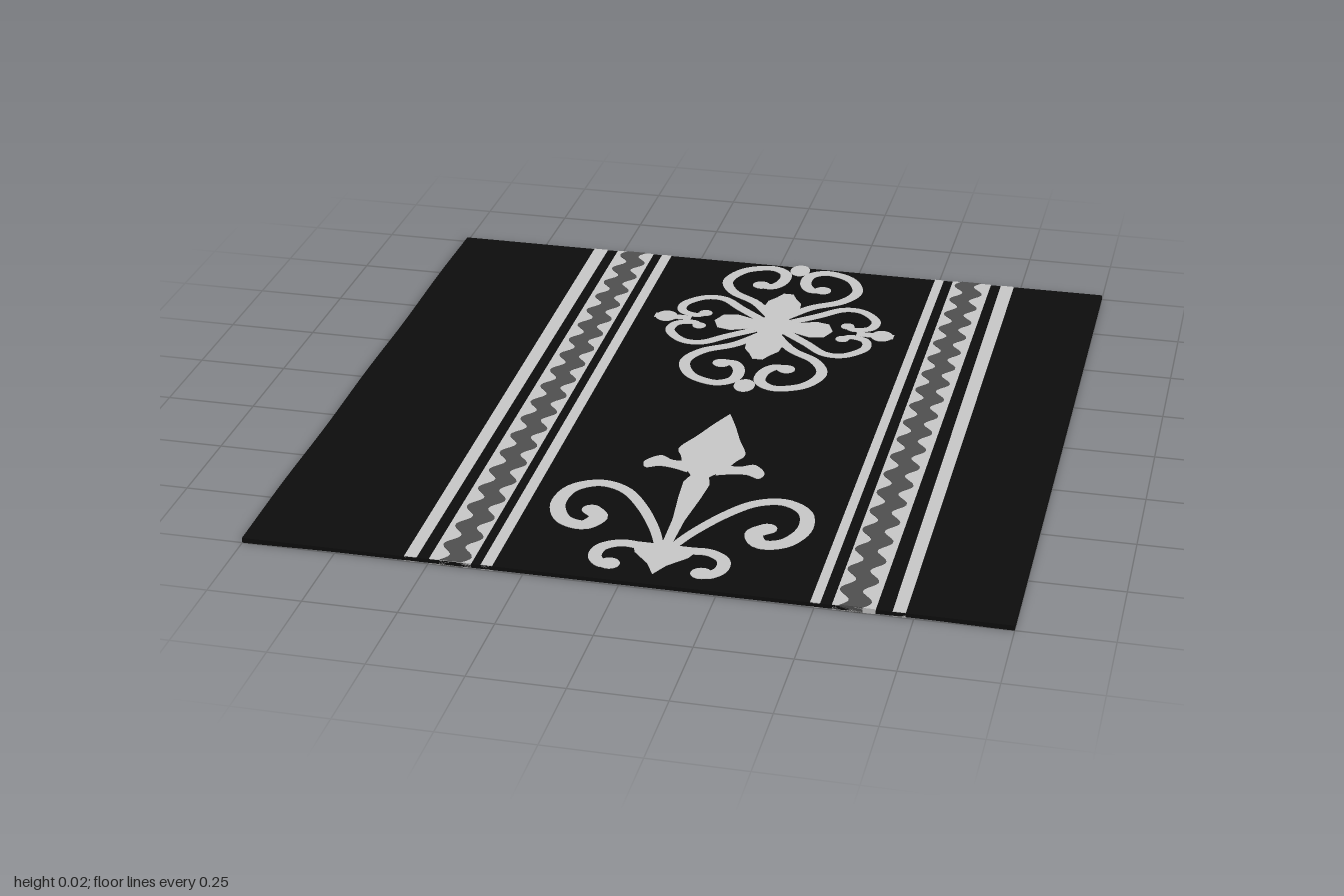
import * as THREE from 'three';

const black = new THREE.MeshStandardMaterial({ color: 0x0d0d0d, name: 'black pile' });
const pale = new THREE.MeshStandardMaterial({ color: 0xc8c8c8, name: 'pale grey pattern' });
const grey = new THREE.MeshStandardMaterial({ color: 0x505050, name: 'dark grey wave' });
const CX = 0.075; // axis of the pattern

// Thin inlay showing on both faces; outline points are [x, z]
function inlay(name, pts, material, y0 = 0.0015, y1 = 0.0155) {
  const shape = new THREE.Shape(pts.map(([x, z]) => new THREE.Vector2(x, -z)));
  const geo = new THREE.ExtrudeGeometry(shape, { depth: y1 - y0, bevelEnabled: false });
  geo.rotateX(-Math.PI / 2).translate(0, y0, 0);
  const mesh = new THREE.Mesh(geo, material);
  mesh.name = name;
  return mesh;
}

// Outline of a curved stroke whose width runs from w0 to w1
function stroke(pts, w0, w1) {
  const curve = new THREE.SplineCurve(pts.map(p => new THREE.Vector2(...p)));
  const a = [], b = [], n = 48;
  for (let i = 0; i <= n; i++) {
    const t = i / n, p = curve.getPoint(t), d = curve.getTangent(t);
    const h = (w0 + (w1 - w0) * t) / 2;
    a.push([p.x - d.y * h, p.y + d.x * h]);
    b.unshift([p.x + d.y * h, p.y - d.x * h]);
  }
  return a.concat(b);
}

function disc(x, z, rx, rz = rx) {
  return Array.from({ length: 24 }, (_, i) => {
    const t = i / 24 * Math.PI * 2;
    return [x + rx * Math.cos(t), z + rz * Math.sin(t)];
  });
}

// Smooth closed outline
function smooth(pts, n = 60) {
  const c = new THREE.SplineCurve(pts.map(p => new THREE.Vector2(...p)));
  return c.getPoints(n).map(p => [p.x, p.y]);
}

const place = (pts, sx, sz, cz) => pts.map(([x, z]) => [CX + sx * x, cz + sz * z]);

export function createModel() {
  const rug = new THREE.Group();
  rug.name = 'rug';

  // Slab, with slightly uneven outer margins
  const geo = new THREE.BoxGeometry(2, 0.011, 2, 60, 1, 60);
  geo.translate(0, 0.0085, 0);
  const pos = geo.attributes.position;
  for (let i = 0; i < pos.count; i++) {
    const x = pos.getX(i), z = pos.getZ(i);
    const edge = THREE.MathUtils.smoothstep(Math.abs(x), 0.75, 1);
    const lift = x > 0 ? 0.008 * Math.exp(-z * z * 150) + 0.003 * Math.exp(-((z + 0.42) ** 2) * 150)
      : 0.004 * (0.5 + 0.5 * Math.cos(z * 9));
    if (pos.getY(i) > 0.008) pos.setY(i, pos.getY(i) + edge * lift);
    else pos.setY(i, pos.getY(i) - 0.003 * edge);
  }
  geo.computeVertexNormals();
  const slab = new THREE.Mesh(geo, black);
  slab.name = 'pile';
  rug.add(slab);

  // Border stripes: [x0, x1 at the back, x0, x1 at the front]
  const stripes = [
    [-0.585, -0.542, -0.563, -0.53], [-0.51, -0.395, -0.497, -0.385], [-0.368, -0.338, -0.36, -0.33],
    [0.49, 0.517, 0.49, 0.515], [0.545, 0.662, 0.545, 0.655], [0.692, 0.732, 0.697, 0.73],
  ];
  for (const [a, b, c, d] of stripes) {
    rug.add(inlay('borderStripe', [[a, -1], [b, -1], [d, 1], [c, 1]], pale));
  }

  // Wavy lines inside the wide stripes
  for (const [x0, x1] of [[-0.45, -0.437], [0.6, 0.595]]) {
    const left = [], right = [];
    for (let i = 0; i <= 200; i++) {
      const z = -1 + i / 100;
      const x = x0 + (x1 - x0) * i / 200 + 0.016 * Math.sin(z * Math.PI * 2 / 0.105);
      left.push([x - 0.029, z]);
      right.unshift([x + 0.029, z]);
    }
    rug.add(inlay('borderWave', left.concat(right), grey, 0, 0.017));
  }

  // Four-lobed medallion
  const medallion = new THREE.Group();
  medallion.name = 'medallion';
  const mz = -0.565;
  const add = (g, name, pts, sx, sz, cz) => g.add(inlay(name, place(pts, sx, sz, cz), pale));
  const endCurl = [[-0.02, 0.06], [-0.085, 0.15], [-0.165, 0.21], [-0.2, 0.29], [-0.165, 0.375],
    [-0.09, 0.41], [-0.04, 0.38], [-0.035, 0.32], [-0.06, 0.275], [-0.1, 0.28]];
  const sideCurl = [[-0.05, 0.04], [-0.12, 0.1], [-0.18, 0.155], [-0.24, 0.155], [-0.29, 0.1],
    [-0.285, 0.045], [-0.24, 0.025], [-0.215, 0.045]];
  const endPetal = [[0, 0], [-0.035, 0.05], [-0.055, 0.12], [-0.05, 0.17], [-0.03, 0.2], [-0.015, 0.232],
    [0.015, 0.232], [0.03, 0.2], [0.05, 0.17], [0.055, 0.12], [0.035, 0.05]];
  const sidePetal = [[0, -0.03], [-0.07, -0.035], [-0.12, -0.055], [-0.16, -0.045], [-0.178, 0],
    [-0.16, 0.045], [-0.12, 0.055], [-0.07, 0.035], [0, 0.03]];
  for (const s of [-1, 1]) {
    add(medallion, 'endPetal', endPetal, 1, s, mz);
    add(medallion, 'sidePetal', sidePetal, s, 1, mz);
    add(medallion, 'endKnob', disc(0, 0.41, 0.03, 0.04), 1, s, mz);
    add(medallion, 'sideKnob', disc(-0.325, 0, 0.032, 0.036), s, 1, mz);
    add(medallion, 'sideBar', [[-0.36, -0.015], [-0.25, -0.015], [-0.25, 0.015], [-0.36, 0.015]], s, 1, mz);
    for (const t of [-1, 1]) {
      add(medallion, 'endCurl', stroke(endCurl, 0.03, 0.036), s, t, mz);
      add(medallion, 'endCurlTip', disc(-0.095, 0.28, 0.026), s, t, mz);
      add(medallion, 'sideCurl', stroke(sideCurl, 0.03, 0.026), s, t, mz);
      add(medallion, 'sideCurlTip', disc(-0.215, 0.045, 0.02), s, t, mz);
    }
  }
  add(medallion, 'heart', [[0, -0.09], [0.09, 0], [0, 0.09], [-0.09, 0]], 1, 1, mz);
  rug.add(medallion);

  // Lily ornament
  const lily = new THREE.Group();
  lily.name = 'lily';
  const half = smooth([[0, 0.03], [-0.03, 0.1], [-0.06, 0.18], [-0.092, 0.26], [-0.075, 0.31], [-0.05, 0.39]]);
  add(lily, 'spearhead', half.concat(half.slice(1).reverse().map(([x, z]) => [-x, z])), 1, 1, 0);
  add(lily, 'stem', [[-0.05, 0.37], [-0.025, 0.41], [-0.036, 0.45], [-0.03, 0.53], [-0.016, 0.66], [-0.012, 0.82],
    [0.012, 0.82], [0.016, 0.66], [0.03, 0.53], [0.036, 0.45], [0.025, 0.41], [0.05, 0.37]], 1, 1, 0);
  add(lily, 'foot', [[-0.09, 0.795], [0.09, 0.795], [0.07, 0.85], [0.025, 0.9], [0, 0.95],
    [-0.025, 0.9], [-0.07, 0.85]], 1, 1, 0);
  const volute = [[-0.015, 0.81], [-0.05, 0.72], [-0.11, 0.61], [-0.175, 0.53], [-0.25, 0.505], [-0.315, 0.55],
    [-0.33, 0.64], [-0.295, 0.72], [-0.235, 0.74], [-0.207, 0.69], [-0.235, 0.655]];
  const curl = [[-0.04, 0.82], [-0.11, 0.81], [-0.158, 0.84], [-0.165, 0.89], [-0.14, 0.925], [-0.115, 0.915]];
  for (const s of [-1, 1]) {
    add(lily, 'volute', stroke(volute, 0.024, 0.052), s, 1, 0);
    add(lily, 'voluteTip', disc(-0.235, 0.655, 0.026), s, 1, 0);
    add(lily, 'footCurl', stroke(curl, 0.034, 0.036), s, 1, 0);
    add(lily, 'footCurlTip', disc(-0.12, 0.92, 0.028), s, 1, 0);
    add(lily, 'collar', smooth([[-0.04, 0.33], [-0.09, 0.335], [-0.13, 0.315], [-0.165, 0.355], [-0.155, 0.39],
      [-0.12, 0.375], [-0.08, 0.38], [-0.04, 0.395]]), s, 1, 0);
  }
  rug.add(lily);
  return rug;
}
